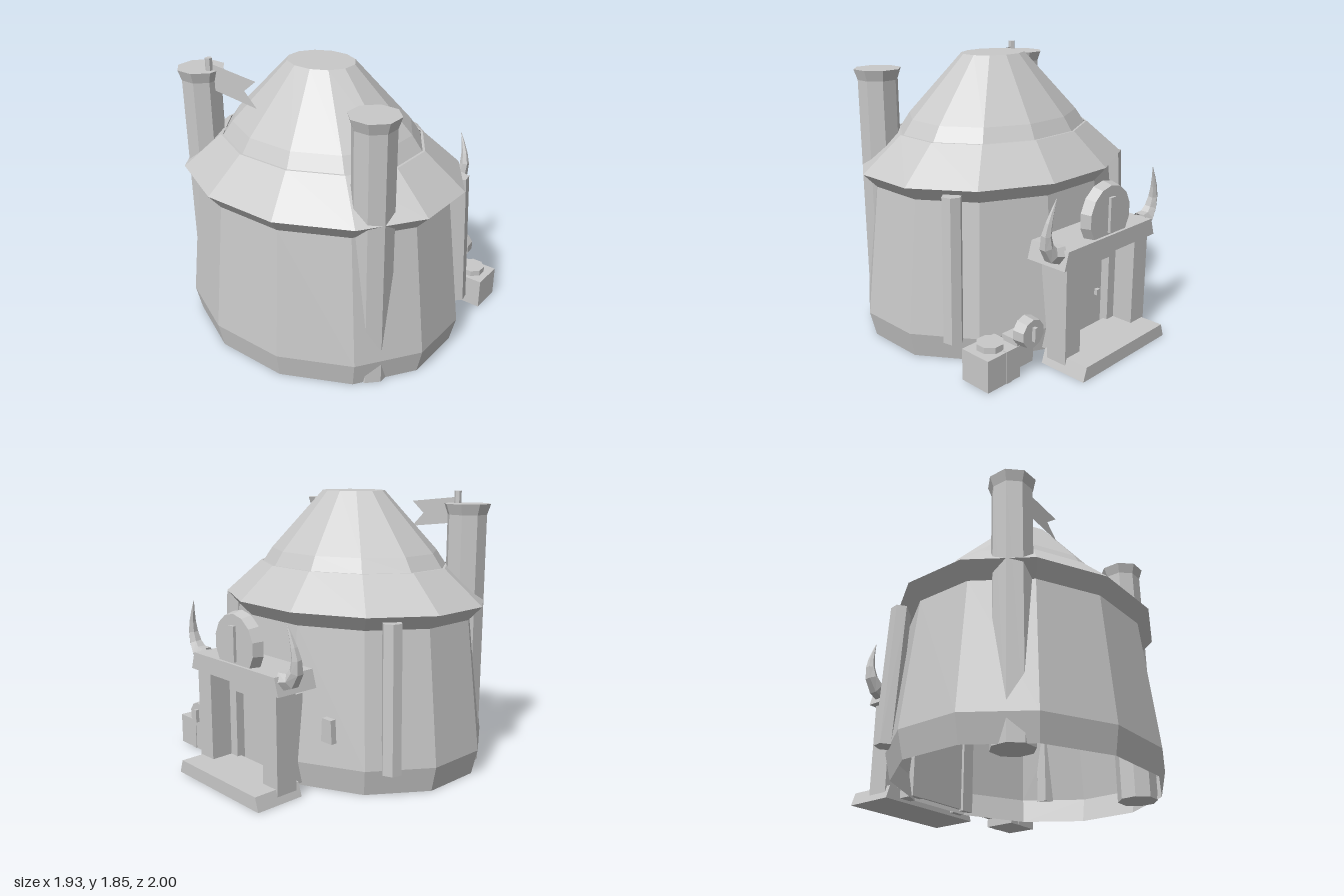
import * as THREE from 'three';

const grey = new THREE.MeshStandardMaterial({ color: 0xc8c8c8, side: THREE.DoubleSide });
grey.name = 'plain grey';

// Faceted normals for the low-poly look
function facet(geo) {
  const g = geo.index ? geo.toNonIndexed() : geo;
  g.computeVertexNormals();
  return g;
}

function add(parent, name, geo, x = 0, y = 0, z = 0) {
  const m = new THREE.Mesh(facet(geo), grey);
  m.name = name;
  m.position.set(x, y, z);
  parent.add(m);
  return m;
}

// Box given by its limits; topInset narrows the upper face
function block(parent, name, [x0, x1], [y0, y1], [z0, z1], topInset = 0) {
  const geo = new THREE.BoxGeometry(x1 - x0, y1 - y0, z1 - z0);
  const p = geo.attributes.position;
  for (let i = 0; i < p.count; i++) {
    if (p.getY(i) > 0) p.setX(i, p.getX(i) - Math.sign(p.getX(i)) * topInset);
  }
  return add(parent, name, geo, (x0 + x1) / 2, (y0 + y1) / 2, (z0 + z1) / 2);
}

// Twelve-sided oval shell from [half width, height] pairs
function ovalShell(parent, name, profile) {
  const pts = profile.map(([w, y]) => new THREE.Vector2(w / Math.cos(Math.PI / 12), y));
  const geo = new THREE.LatheGeometry(pts, 12, Math.PI / 12);
  geo.scale(1, 1, 0.832);
  return add(parent, name, geo, 0, 0, 0.2);
}

// Disc whose axis runs along z, narrower at the back
function disc(parent, name, r, depth, sides, x, y, z) {
  const geo = new THREE.CylinderGeometry(r, r * 0.92, depth, sides);
  geo.rotateX(Math.PI / 2);
  return add(parent, name, geo, x, y, z);
}

// Straight rod between two points
function rod(parent, name, a, b, r, sides) {
  const A = new THREE.Vector3(...a), B = new THREE.Vector3(...b);
  const d = B.clone().sub(A);
  const m = add(parent, name, new THREE.CylinderGeometry(r, r, d.length(), sides));
  m.position.copy(A).add(B).multiplyScalar(0.5);
  m.quaternion.setFromUnitVectors(new THREE.Vector3(0, 1, 0), d.normalize());
  return m;
}

// Tapered curved horn
function horn(parent, side) {
  const curve = new THREE.CatmullRomCurve3([
    [0.41, 0.77, -0.78], [0.49, 0.79, -0.775], [0.535, 0.88, -0.78], [0.525, 1.0, -0.795], [0.48, 1.14, -0.81],
  ].map(([x, y, z]) => new THREE.Vector3(side * x, y, z)));
  const rings = 6, sides = 6;
  const geo = new THREE.TubeGeometry(curve, rings, 0.065, sides);
  const p = geo.attributes.position, v = new THREE.Vector3();
  for (let i = 0; i < p.count; i++) {
    const t = Math.floor(i / (sides + 1)) / rings;
    const c = curve.getPointAt(t);
    v.fromBufferAttribute(p, i).sub(c).multiplyScalar(1 - t * 0.98).add(c);
    p.setXYZ(i, v.x, v.y, v.z);
  }
  add(parent, 'horn', geo);
}

export function createModel() {
  const model = new THREE.Group();
  model.name = 'roundHut';

  // Walls, open underneath, and the two-tier roof
  ovalShell(model, 'wall', [[0.925, 0], [0.965, 0.17], [0.865, 1.04]]);
  ovalShell(model, 'lowerRoof', [[0.865, 1.04], [0.955, 1.135], [0.69, 1.36], [0.675, 1.36]]);
  ovalShell(model, 'upperRoof', [[0.675, 1.35], [0.605, 1.45], [0.225, 1.85], [0, 1.85]]);

  for (const s of [-1, 1]) {
    // Chimneys running down through the wall
    const chimney = [[0, 0], [0.133, 0], [0.133, 1.7], [0.157, 1.77], [0, 1.77]];
    add(model, 'chimney', new THREE.LatheGeometry(
      chimney.map(([r, y]) => new THREE.Vector2(r, y)), 8, Math.PI / 8), s * 0.68, 0, 0.585);
    // Leaning wall poles
    rod(model, 'wallPole', [s * 0.785, 1.1, -0.245], [s * 0.82, 0.16, -0.27], 0.066, 6);
  }

  // Flag on the chimney
  rod(model, 'flagPole', [-0.588, 1.7, 0.6], [-0.588, 1.85, 0.6], 0.024, 6);
  const flag = new THREE.Shape([
    [-0.588, 1.81], [-0.2, 1.77], [-0.3, 1.69], [-0.2, 1.595], [-0.588, 1.64],
  ].map(([x, y]) => new THREE.Vector2(x, y)));
  add(model, 'flag', new THREE.ShapeGeometry(flag), 0, 0, 0.59);

  // Doorway at the back
  const door = new THREE.Group();
  door.name = 'doorway';
  model.add(door);
  block(door, 'step', [-0.425, 0.425], [0, 0.09], [-1, -0.66], 0.03);
  block(door, 'lintel', [-0.455, 0.455], [0.69, 0.805], [-0.86, -0.56], 0.035);
  block(door, 'innerLintel', [-0.3, 0.3], [0.55, 0.62], [-0.69, -0.54]);
  block(door, 'doorPanel', [-0.22, 0.22], [0.03, 0.56], [-0.63, -0.56]);
  block(door, 'doorKnob', [-0.16, -0.13], [0.28, 0.32], [-0.655, -0.62]);
  for (const s of [-1, 1]) {
    block(door, 'post', [s * 0.34 - 0.07, s * 0.34 + 0.07], [0, 0.69], [-0.84, -0.69]);
    block(door, 'doorJamb', [s * 0.25 - 0.05, s * 0.25 + 0.05], [0.02, 0.6], [-0.69, -0.54]);
    horn(door, s);
  }
  disc(door, 'shield', 0.215, 0.07, 14, 0, 0.925, -0.805);
  block(door, 'shieldBar', [-0.025, 0.025], [0.82, 1.05], [-0.86, -0.83]);

  // Plaque beside the door
  block(model, 'plaque', [-0.612, -0.518], [0.37, 0.52], [-0.58, -0.54], 0.008);

  // Crates with a lid and a wheel
  const crates = new THREE.Group();
  crates.name = 'crates';
  model.add(crates);
  block(crates, 'largeCrate', [0.64, 0.91], [0, 0.21], [-0.675, -0.45]);
  block(crates, 'crateStrap', [0.72, 0.76], [0.0, 0.215], [-0.68, -0.445]);
  add(crates, 'crateLid', new THREE.CylinderGeometry(0.088, 0.088, 0.04, 8, 1, false, Math.PI / 8), 0.78, 0.23, -0.56);
  block(crates, 'smallCrate', [0.52, 0.66], [0.06, 0.25], [-0.67, -0.54]);
  disc(crates, 'wheel', 0.1, 0.08, 10, 0.59, 0.295, -0.7);
  block(crates, 'wheelBar', [0.578, 0.602], [0.25, 0.34], [-0.765, -0.73]);

  return model;
}
